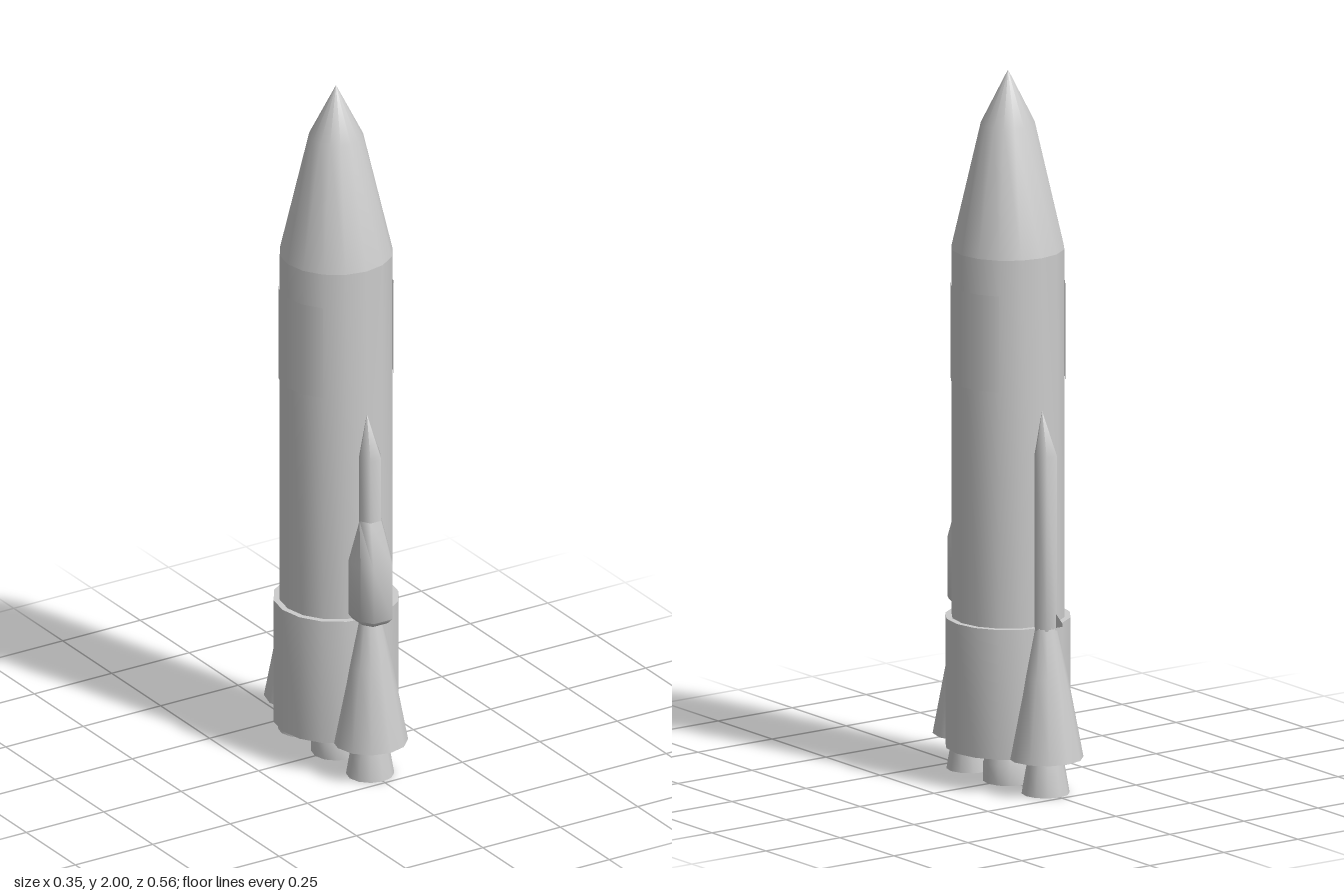
import * as THREE from 'three';
import { toCreasedNormals } from 'three/addons/utils/BufferGeometryUtils.js';

const grey = new THREE.MeshStandardMaterial({ color: 0xcccccc });
const thin = new THREE.MeshStandardMaterial({ color: 0xcccccc, side: THREE.DoubleSide });
const BOOSTER_Z = 0.174;

function part(name, geometry, material = grey) {
  const mesh = new THREE.Mesh(geometry, material);
  mesh.name = name;
  return mesh;
}

// Turned part from [radius, height] pairs, bottom to top
function turned(name, profile, sides) {
  const points = profile.map(([r, y]) => new THREE.Vector2(r, y));
  return part(name, toCreasedNormals(new THREE.LatheGeometry(points, sides), 1.1));
}

// Skin over rings of equal point count, bottom to top, with closed ends
function loft(name, rings) {
  const n = rings[0].length, pos = [], index = [];
  rings.forEach(ring => ring.forEach(p => pos.push(...p)));
  for (let j = 0; j < rings.length - 1; j++) {
    for (let i = 0; i < n; i++) {
      const a = j * n + i, b = j * n + (i + 1) % n;
      index.push(a, b, a + n, b, b + n, a + n);
    }
  }
  const top = (rings.length - 1) * n;
  for (let i = 1; i < n - 1; i++) {
    index.push(0, i + 1, i);
    index.push(top, top + i, top + i + 1);
  }
  const geometry = new THREE.BufferGeometry();
  geometry.setAttribute('position', new THREE.Float32BufferAttribute(pos, 3));
  geometry.setIndex(index);
  return part(name, toCreasedNormals(geometry, 1.1));
}

// Six-sided ring with corners on the x axis
function hexRing(r, y, z = 0) {
  return Array.from({ length: 6 }, (_, i) => {
    const a = Math.PI / 6 + i * Math.PI / 3;
    return [r * Math.sin(a), y, z + r * Math.cos(a)];
  });
}

// Chamfered pod section, flat against the hull
function podRing(y, s = 1) {
  return [[0.03, 0.066], [0.052, 0.033], [0.052, -0.028],
    [-0.052, -0.028], [-0.052, 0.033], [-0.03, 0.066]]
    .map(([x, z]) => [x * s, y, z > 0 ? z * s : z]);
}

// Strap-on booster, facing +z
function booster(name) {
  const group = new THREE.Group();
  group.name = name;
  group.add(
    turned('boosterCone', [[0, 0.1], [0.104, 0.1], [0.061, 0.33], [0.032, 0.465], [0, 0.465]], 12),
    turned('boosterNozzle', [[0, 0], [0.066, 0], [0.056, 0.06], [0.047, 0.105], [0, 0.105]], 12),
    // Slim upper stage, its tip leaning onto the hull
    loft('boosterSpire', [hexRing(0.034, 0.46), hexRing(0.034, 0.95), hexRing(0.0005, 1.07, -0.016)])
  );
  group.position.z = BOOSTER_Z;
  return group;
}

export function createModel() {
  const rocket = new THREE.Group();
  rocket.name = 'rocket';

  // Core
  rocket.add(
    turned('hull', [[0, 0.4], [0.156, 0.4], [0.156, 1.5]], 16),
    turned('nose', [[0.156, 1.5], [0.075, 1.85], [0, 2]], 16),
    turned('skirt', [[0, 0.1], [0.173, 0.1], [0.173, 0.465], [0.15, 0.465]], 16),
    turned('mainNozzle', [[0, 0], [0.068, 0], [0.068, 0.055], [0.05, 0.105], [0, 0.105]], 12)
  );

  // Raised panels on both flanks
  for (const side of [1, -1]) {
    const panel = part(side > 0 ? 'leftPanel' : 'rightPanel',
      new THREE.CylinderGeometry(0.159, 0.159, 0.27, 4, 1, true, Math.PI / 4, Math.PI / 2), thin);
    panel.position.y = 1.265;
    if (side < 0) panel.rotation.y = Math.PI;
    rocket.add(panel);
  }

  // Front booster carries the equipment pod
  const front = booster('frontBooster');
  front.add(loft('pod', [podRing(0.465, 0.8), podRing(0.48), podRing(0.64), hexRing(0.034, 0.765)]));
  rocket.add(front);

  // Rear booster carries a small flared vent
  const rear = booster('rearBooster');
  rear.add(loft('vent', [
    [[0.013, 0.465, 0.02], [-0.013, 0.465, 0.02], [-0.017, 0.475, 0.054], [0.017, 0.475, 0.054]].reverse(),
    [[0.013, 0.515, 0.02], [-0.013, 0.515, 0.02], [-0.017, 0.485, 0.054], [0.017, 0.485, 0.054]].reverse()
  ]));
  rear.rotation.y = Math.PI;
  rear.position.z = -BOOSTER_Z;
  rocket.add(rear);

  return rocket;
}
